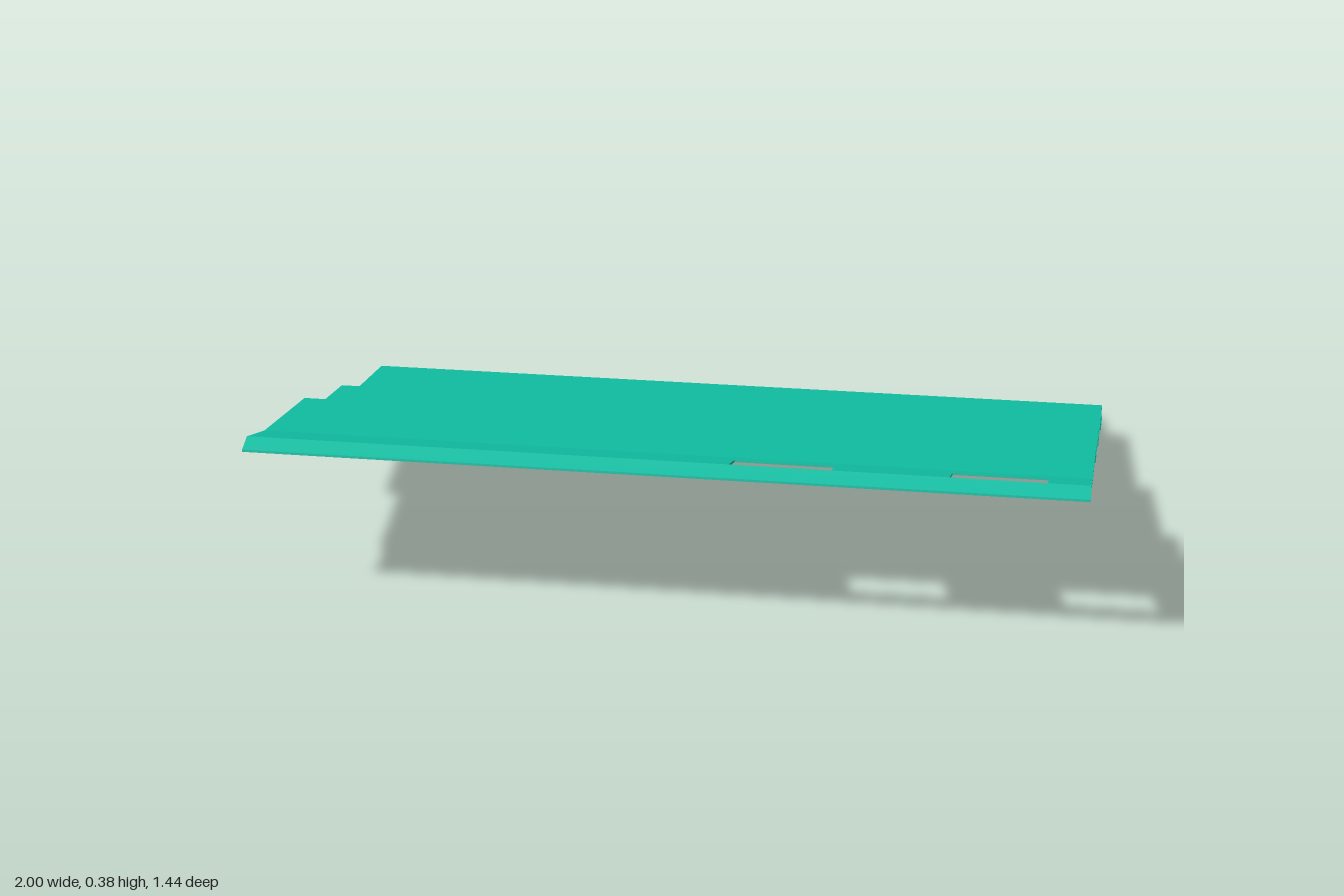
import * as THREE from 'three';

// Stepped thin sheet: side profile as [z, y] of the upper face, front to back
const lip = [[0.718, 0.362], [0.675, 0.379]];
const slotBand = [[0.675, 0.379], [0.575, 0.35]];
const steps = [
  [0.575, 0.35], [0.535, 0.339], [0.19, 0.291], [0.19, 0.243],
  [-0.155, 0.195], [-0.155, 0.148], [-0.56, 0.1], [-0.56, 0.032], [-0.72, 0.005],
];

export function createModel() {
  const group = new THREE.Group();
  group.name = 'steppedPanel';
  const material = new THREE.MeshStandardMaterial({ color: 0x10c0a4 });

  // Give a profile its sheet thickness and run it from x0 to x1
  function addSheet(name, profile, x0, x1) {
    const under = profile.map(([z, y]) => [z + 0.002, y - 0.005]).reverse();
    const shape = new THREE.Shape([...profile, ...under].map(([z, y]) => new THREE.Vector2(z, y)));
    const geometry = new THREE.ExtrudeGeometry(shape, { depth: x1 - x0, bevelEnabled: false });
    geometry.rotateY(-Math.PI / 2);
    geometry.translate(x1, 0, 0);
    const mesh = new THREE.Mesh(geometry, material);
    mesh.name = name;
    group.add(mesh);
  }

  addSheet('frontLip', lip, -1, 1);
  addSheet('steppedSlats', steps, -1, 1);

  // Bridges that leave the two rectangular slots open between them
  const bridges = [[-1, 0.16], [0.4, 0.675], [0.9, 1]];
  bridges.forEach(([x0, x1], i) => addSheet(`slotBridge${i + 1}`, slotBand, x0, x1));

  return group;
}
